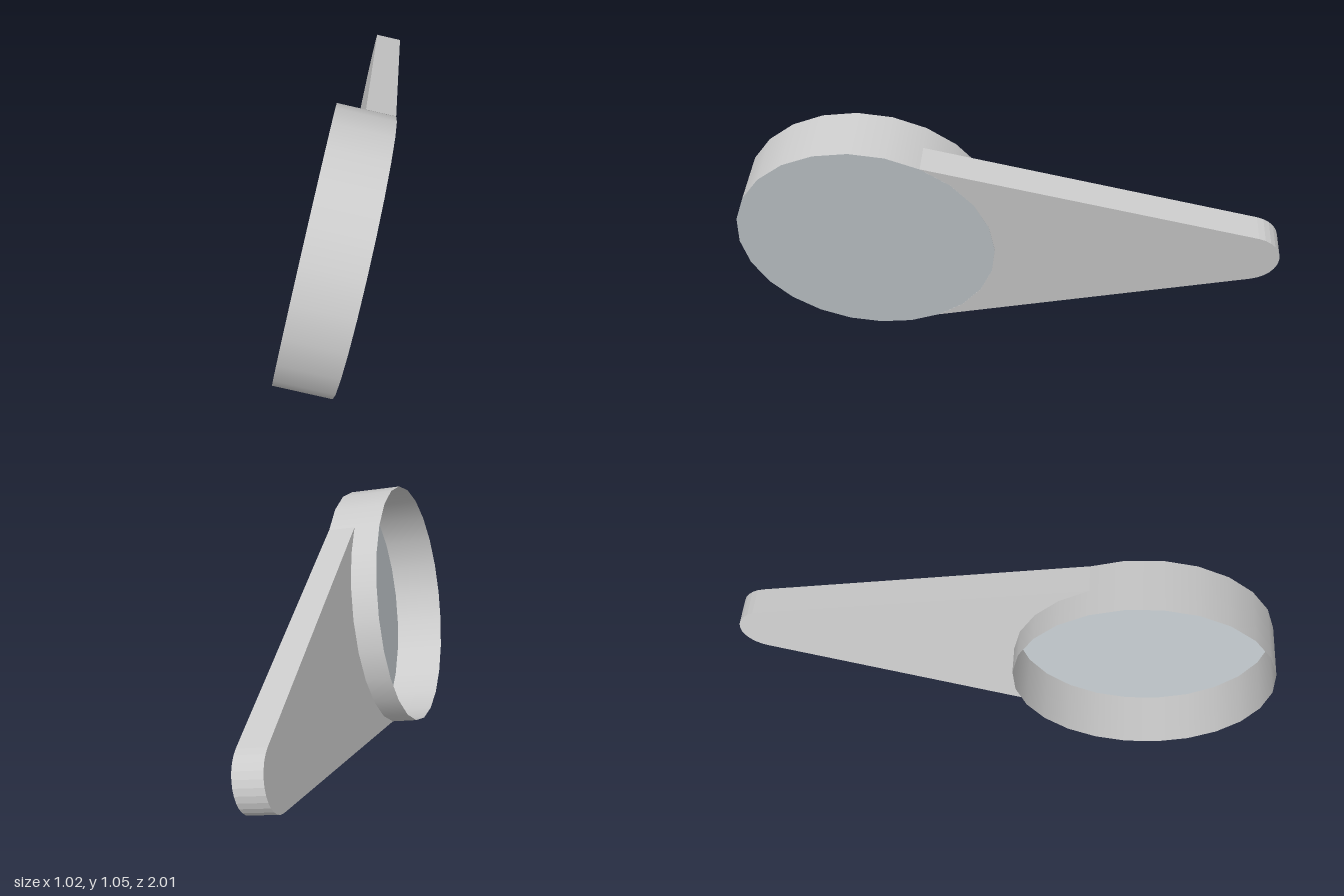
import * as THREE from 'three';

export function createModel() {
  const R = 0.512, depth = 0.216;              // drum
  const tipR = 0.125, tipX = 1.485, armT = 0.11; // arm
  const grey = new THREE.MeshStandardMaterial({ color: 0xcccccc, side: THREE.DoubleSide });
  const tint = new THREE.MeshStandardMaterial({ color: 0xc0c7cb, side: THREE.DoubleSide });

  const model = new THREE.Group();
  model.name = 'drumWithArm';
  const add = (name, geometry, material) => {
    const mesh = new THREE.Mesh(geometry, material);
    mesh.name = name;
    model.add(mesh);
  };

  // Drum wall: open 24-sided tube running back from the cap
  const wall = new THREE.CylinderGeometry(R, R, depth, 24, 1, true);
  wall.rotateX(Math.PI / 2).translate(0, 0, -depth / 2);
  add('drumWall', wall, grey);

  // Drum cap: closes the front end only
  add('drumCap', new THREE.CircleGeometry(R, 24), tint);

  // Arm: tapered slab that hugs the drum and ends in a round tip
  const shape = new THREE.Shape();
  const taper = THREE.MathUtils.degToRad(75);
  for (let i = 0; i <= 12; i++) {
    const t = -taper + (2 * taper * i) / 12;
    const x = tipX + tipR * Math.cos(t), y = tipR * Math.sin(t);
    if (i === 0) shape.moveTo(x, y); else shape.lineTo(x, y);
  }
  for (let i = 4; i >= -4; i--) {              // follows the drum's facets
    const t = (i * Math.PI) / 12;
    shape.lineTo(R * 1.001 * Math.cos(t), R * 1.001 * Math.sin(t));
  }
  const arm = new THREE.ExtrudeGeometry(shape, { depth: armT, bevelEnabled: false });
  arm.translate(0, 0, -armT);
  add('arm', arm, grey);

  // Lean the whole part: local x runs along the arm, local z faces out of the cap
  const n = new THREE.Vector3(0.91, -0.2, 0.365).normalize();
  const a = new THREE.Vector3(0.613, 0.03, -1.485);
  a.addScaledVector(n, -a.dot(n)).normalize();
  const b = new THREE.Vector3().crossVectors(n, a);
  model.quaternion.setFromRotationMatrix(new THREE.Matrix4().makeBasis(a, b, n));
  model.position.set(-0.1, 0.504, 0.525);

  const root = new THREE.Group();
  root.name = 'model';
  root.add(model);
  return root;
}
